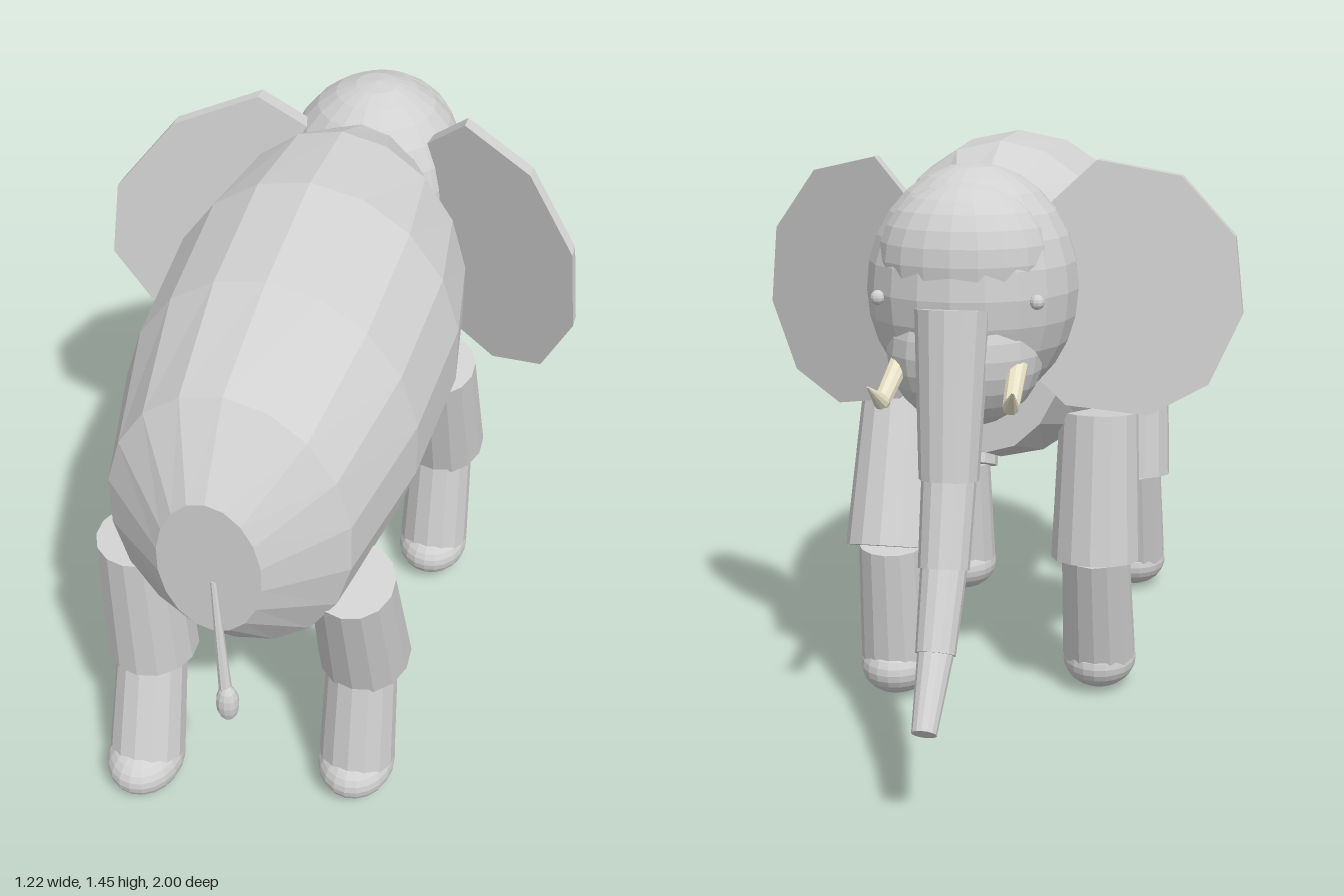
import * as THREE from 'three';

const grey = new THREE.MeshStandardMaterial({ color: 0xd1d1d1 });
grey.name = 'skin grey';
const ivory = new THREE.MeshStandardMaterial({ color: 0xfff8dc });
ivory.name = 'tusk ivory';

const V = (x, y, z) => new THREE.Vector3(x, y, z);

// Faceted mesh: every face gets its own normals
function part(name, geometry, material = grey) {
  const g = geometry.index ? geometry.toNonIndexed() : geometry;
  g.computeVertexNormals();
  const mesh = new THREE.Mesh(g, material);
  mesh.name = name;
  return mesh;
}

// Tapered cylinder from point a to point b
function limb(name, a, b, ra, rb, sides = 14, material = grey) {
  const dir = b.clone().sub(a);
  const mesh = part(name, new THREE.CylinderGeometry(rb, ra, dir.length(), sides), material);
  mesh.position.copy(a).add(b).multiplyScalar(0.5);
  mesh.quaternion.setFromUnitVectors(V(0, 1, 0), dir.normalize());
  return mesh;
}

function ball(name, center, rx, ry, rz, w = 20, h = 14) {
  const mesh = part(name, new THREE.SphereGeometry(1, w, h).scale(rx, ry, rz));
  mesh.position.copy(center);
  return mesh;
}

// Barrel body: rings of [z, centre y, half width, half height]
function makeBody() {
  const rings = [
    [0.935, 0.935, 0.12, 0.185], [0.8, 0.947, 0.284, 0.355], [0.5, 1.0, 0.355, 0.395],
    [0.17, 1.036, 0.372, 0.418], [-0.1, 1.036, 0.328, 0.407], [-0.295, 1.025, 0.21, 0.335],
  ];
  const g = new THREE.CylinderGeometry(1, 1, 1, 18, rings.length - 1).rotateX(Math.PI / 2);
  const p = g.attributes.position;
  for (let i = 0; i < p.count; i++) {
    const [z, cy, rx, ry] = rings[Math.round((0.5 - p.getZ(i)) * (rings.length - 1))];
    p.setXYZ(i, p.getX(i) * rx, cy + p.getY(i) * ry, z);
  }
  return part('body', g);
}

// Leg joints as [z, y]: hip, knee, shin top, ankle, foot
const strides = {
  left: [[0.72, 0.774], [0.594, 0.415], [0.615, 0.42], [0.652, 0.1], [0.656, 0.078]],
  right: [[0.715, 0.77], [0.688, 0.39], [0.685, 0.41], [0.78, 0.1], [0.795, 0.078]],
};

function makeLeg(name, side, shift) {
  const leg = new THREE.Group();
  leg.name = name;
  const x = side === 'left' ? 0.26 : -0.26;
  const [hip, knee, shin, ankle, foot] = strides[side].map(([z, y]) => V(x, y, z + shift));
  leg.add(
    limb('upperLeg', hip, knee, 0.1, 0.115),
    limb('lowerLeg', shin, ankle, 0.087, 0.096),
    ball('foot', foot, 0.097, 0.078, 0.117),
  );
  return leg;
}

// Ten-sided ear plate, slanted away from the head
function makeEar(name, s) {
  const outline = [
    [0.27, 1.415], [0.46, 1.37], [0.59, 1.215], [0.612, 1.02], [0.535, 0.85],
    [0.395, 0.785], [0.206, 0.83], [0.075, 0.985], [0.06, 1.15], [0.14, 1.29],
  ];
  const shape = new THREE.Shape(outline.map(([x, y]) => new THREE.Vector2(s * x, y)));
  const g = new THREE.ExtrudeGeometry(shape, { depth: 0.042, bevelEnabled: false });
  const p = g.attributes.position;
  for (let i = 0; i < p.count; i++) {
    p.setZ(i, p.getZ(i) - 0.473 + 0.625 * Math.abs(p.getX(i)));
  }
  return part(name, g);
}

export function createModel() {
  const model = new THREE.Group();
  model.name = 'elephant';
  model.add(makeBody());

  for (const side of ['left', 'right']) {
    model.add(makeLeg(side + 'HindLeg', side, 0), makeLeg(side + 'ForeLeg', side, -0.845));
  }

  // Head
  model.add(
    ball('head', V(0, 1.13, -0.435), 0.248, 0.285, 0.26),
    ball('forehead', V(0, 1.205, -0.518), 0.202, 0.18, 0.174),
    ball('jaw', V(0, 0.995, -0.53), 0.182, 0.178, 0.172),
  );

  // Trunk: [z, y, radius] at each joint, each segment tucked into the one above
  const trunk = new THREE.Group();
  trunk.name = 'trunk';
  const joints = [
    [-0.662, 1.11, 0.085], [-0.713, 0.735, 0.068], [-0.773, 0.545, 0.058],
    [-0.862, 0.378, 0.045], [-0.977, 0.24, 0.028],
  ];
  for (let i = 0; i < joints.length - 1; i++) {
    const [z0, y0, r0] = joints[i], [z1, y1, r1] = joints[i + 1];
    const end = V(0, y1, z1);
    const start = V(0, y0, z0).lerp(end, i ? -0.08 : 0);
    trunk.add(limb('trunkSegment', start, end, i ? r0 * 0.92 : r0, r1));
  }
  model.add(trunk);

  // Paired ears, eyes and tusks
  for (const s of [1, -1]) {
    const side = s > 0 ? 'left' : 'right';
    const elbow = V(s * 0.145, 0.912, -0.738);
    model.add(
      makeEar(side + 'Ear', s),
      ball(side + 'Eye', V(s * 0.182, 1.125, -0.62), 0.017, 0.017, 0.017, 10, 8),
      limb(side + 'TuskBase', V(s * 0.135, 0.985, -0.59), elbow, 0.024, 0.019, 10, ivory),
      limb(side + 'TuskTip', elbow, V(s * 0.16, 0.957, -0.797), 0.019, 0.002, 10, ivory),
    );
  }

  // Tail with tuft
  model.add(
    limb('tail', V(0.008, 0.9, 0.932), V(0.04, 0.58, 0.975), 0.007, 0.016, 8),
    ball('tailTuft', V(0.042, 0.57, 0.975), 0.027, 0.053, 0.025, 12, 8),
  );
  return model;
}
